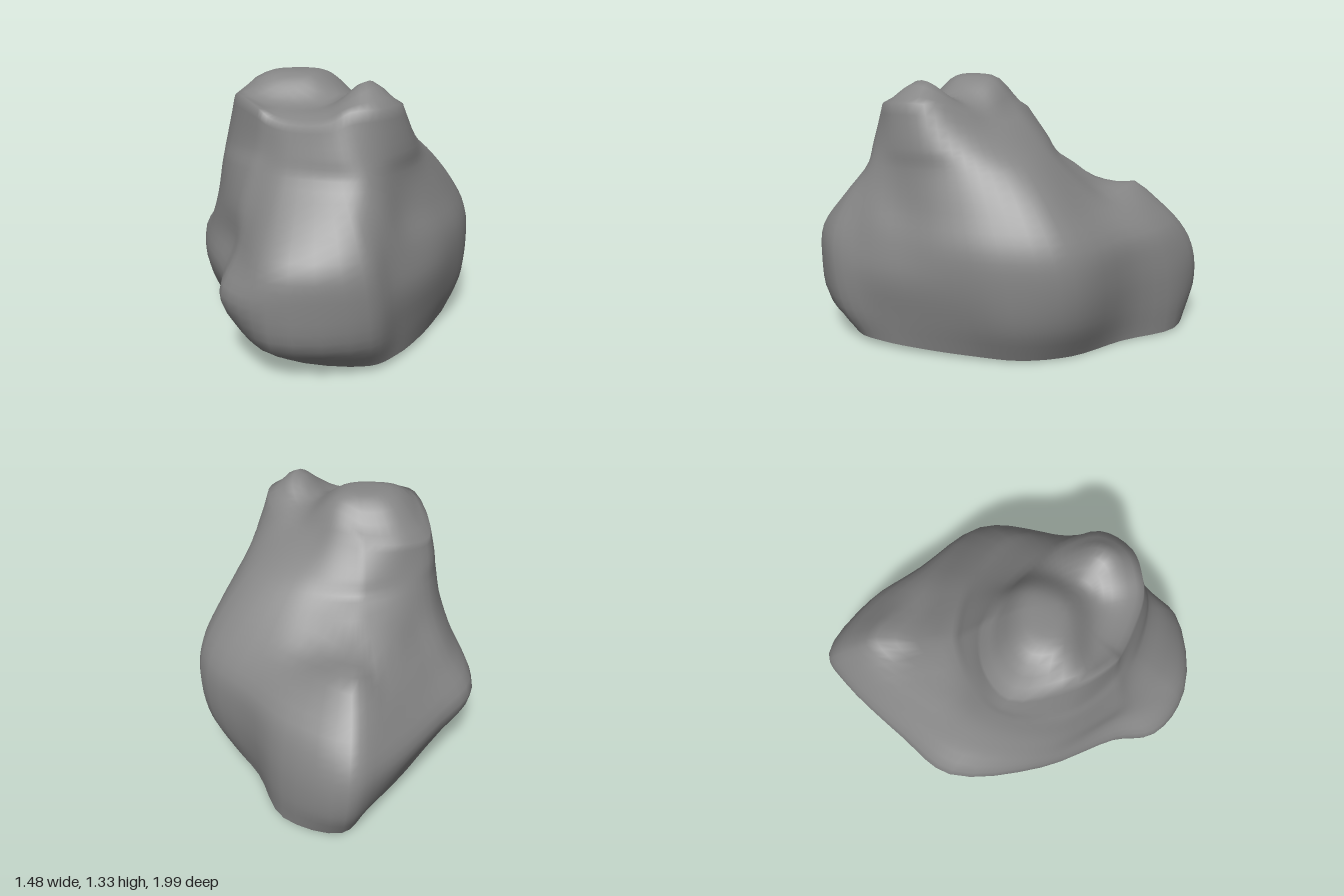
import * as THREE from 'three';
import { mergeVertices } from 'three/addons/utils/BufferGeometryUtils.js';

const SIDES = 64;
const STEPS = 28;
const CAP = 10;

// Directions of the main corners, in degrees from +x towards +z
const angles = [0, 22, 40, 53, 82, 100, 112, 150, 190, 214, 240, 249, 267, 286, 315, 338];

// Horizontal sections above the base: height and radius in each direction
const sections = [
  [0.18, [0.65, 0.67, 0.75, 0.87, 0.92, 0.77, 0.63, 0.61, 0.70, 0.74, 0.98, 1.10, 0.97, 0.77, 0.76, 0.71]],
  [0.38, [0.68, 0.69, 0.76, 0.87, 0.91, 0.84, 0.69, 0.64, 0.80, 0.84, 1.05, 1.14, 0.99, 0.82, 0.82, 0.74]],
  [0.55, [0.665, 0.65, 0.72, 0.83, 0.84, 0.68, 0.59, 0.58, 0.66, 0.72, 0.97, 1.07, 0.95, 0.82, 0.82, 0.73]],
  [0.72, [0.60, 0.58, 0.66, 0.71, 0.66, 0.57, 0.54, 0.52, 0.56, 0.58, 0.79, 0.88, 0.72, 0.68, 0.74, 0.66]],
  [0.90, [0.54, 0.54, 0.57, 0.54, 0.47, 0.45, 0.45, 0.47, 0.51, 0.50, 0.50, 0.50, 0.50, 0.53, 0.60, 0.57]],
  [1.00, [0.53, 0.53, 0.52, 0.49, 0.41, 0.39, 0.39, 0.43, 0.50, 0.47, 0.46, 0.45, 0.44, 0.44, 0.48, 0.51]],
];

// Slightly tilted base edge, and uneven rim below the peaks
const baseRadii = [0.60, 0.64, 0.73, 0.80, 0.76, 0.63, 0.56, 0.53, 0.60, 0.66, 0.85, 0.99, 0.92, 0.70, 0.65, 0.63];
const baseHeight = (i) => 0.025 + 0.02 * Math.cos(THREE.MathUtils.degToRad(angles[i] - 120));
const rimRadii = [0.48, 0.48, 0.43, 0.41, 0.34, 0.33, 0.33, 0.35, 0.47, 0.45, 0.39, 0.36, 0.32, 0.30, 0.32, 0.40];
const rimHeights = [1.21, 1.21, 1.20, 1.15, 1.13, 1.15, 1.19, 1.23, 1.12, 1.13, 1.15, 1.17, 1.18, 1.15, 1.13, 1.15];

// Section centres lean forward with height
const centre = (y) => new THREE.Vector3(0.05, y, 0.22 * y);

// Closed outline through the corner points
function outline(radii, heightAt) {
  return new THREE.CatmullRomCurve3(radii.map((r, i) => {
    const a = THREE.MathUtils.degToRad(angles[i]);
    return centre(heightAt(i)).add(new THREE.Vector3(r * Math.cos(a), 0, r * Math.sin(a)));
  }), true);
}

const bell = (x, z, cx, cz, w, d) => Math.exp(-(((x - cx) / w) ** 2) - ((z - cz) / d) ** 2);

// A broad flat peak, a narrow one, and a saddle between them
function crownHeight(x, z) {
  const broad = Math.exp(-(((x + 0.08) / 0.27) ** 4) - ((z - 0.16 + 0.3 * x) / 0.22) ** 4);
  return 1.18 + 0.15 * broad + 0.16 * bell(x, z, 0.4, 0.34, 0.13, 0.17);
}

// Knob on the rear shoulder with a dip in front of it
function shoulder(p) {
  const upper = THREE.MathUtils.smoothstep(p.y, 0.45, 0.7);
  p.y += upper * (0.03 * bell(p.x, p.z, -0.2, -0.67, 0.22, 0.1) - 0.06 * bell(p.x, p.z, -0.2, -0.49, 0.25, 0.1));
  return p;
}

function buildRings() {
  const outlines = sections.map(([y, radii]) => outline(radii, () => y));
  outlines.unshift(outline(baseRadii, baseHeight));
  outlines.push(outline(rimRadii, (i) => rimHeights[i]));
  const columns = [];
  for (let i = 0; i < SIDES; i++) {
    const column = new THREE.CatmullRomCurve3(outlines.map((o) => o.getPoint(i / SIDES)));
    columns.push(column.getPoints(STEPS).map(shoulder));
  }
  const rings = [];
  for (let j = 0; j <= STEPS; j++) rings.push(columns.map((c) => c[j]));

  // Crown: shrink the rim to its centre and raise the peaks
  const rim = rings[STEPS];
  const middle = centre(1.18);
  for (let k = 1; k <= CAP; k++) {
    const t = 1 - k / CAP;
    rings.push(rim.map((p) => {
      const q = middle.clone().lerp(p, t);
      q.y = THREE.MathUtils.lerp(p.y, crownHeight(q.x, q.z), 1 - t ** 5);
      return q;
    }));
  }
  return rings;
}

function skin(rings) {
  const positions = rings.flat().flatMap((p) => [p.x, p.y, p.z]);
  const index = [];
  for (let j = 0; j < rings.length - 1; j++) {
    for (let i = 0; i < SIDES; i++) {
      const n = (i + 1) % SIDES;
      const a = j * SIDES + i, b = j * SIDES + n;
      const c = a + SIDES, d = b + SIDES;
      index.push(a, c, b, b, c, d);
    }
  }
  const geometry = new THREE.BufferGeometry();
  geometry.setAttribute('position', new THREE.Float32BufferAttribute(positions, 3));
  geometry.setIndex(index);
  const merged = mergeVertices(geometry);
  merged.computeVertexNormals();
  return merged;
}

export function createModel() {
  const group = new THREE.Group();
  group.name = 'boulder';
  const material = new THREE.MeshStandardMaterial({ color: 0x858585 });
  const rings = buildRings();

  const body = new THREE.Mesh(skin(rings), material);
  body.name = 'rockBody';

  // Underside: a nearly flat fan from the lowest point
  const foot = new THREE.Vector3(0.1, 0, -0.15);
  const base = new THREE.Mesh(skin([rings[0].map(() => foot), rings[0]]), material);
  base.name = 'rockUnderside';
  group.add(body, base);
  return group;
}
